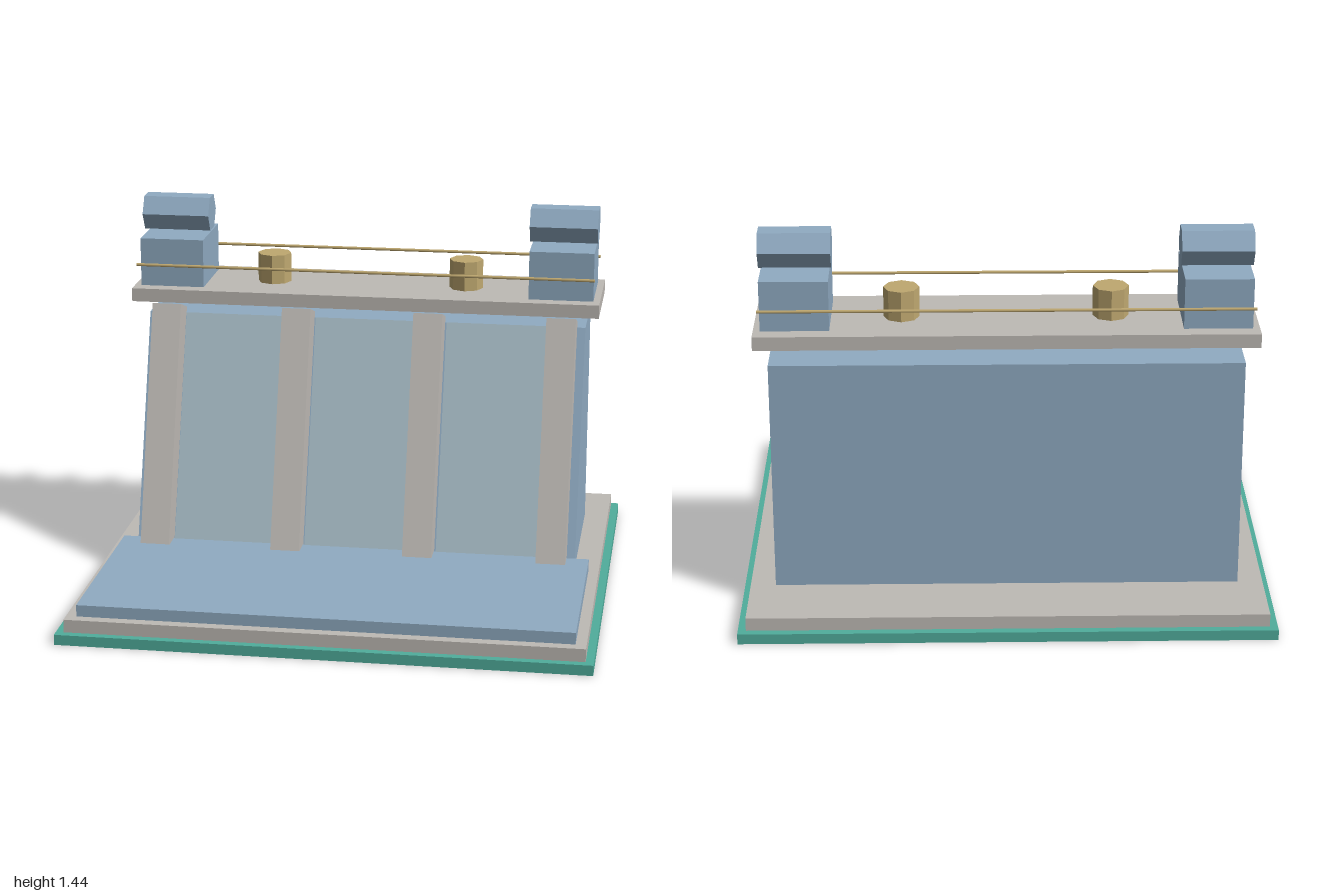
import * as THREE from 'three';

const mat = (name, color) => {
  const m = new THREE.MeshStandardMaterial({ color });
  m.name = name;
  return m;
};

export function createModel() {
  const teal = mat('teal', 0x50ad9c);
  const concrete = mat('concrete', 0xbebab5);
  const blue = mat('slate blue', 0x90abc2);
  const pale = mat('pale blue', 0xa7bcc6);
  const gold = mat('gold', 0xbfa870);

  const model = new THREE.Group();
  model.name = 'dam';

  const add = (name, geometry, material) => {
    const mesh = new THREE.Mesh(geometry, material);
    mesh.name = name;
    model.add(mesh);
    return mesh;
  };

  // Box given by its limits on each axis
  const box = (name, material, [x0, x1], [y0, y1], [z0, z1]) =>
    add(name, new THREE.BoxGeometry(x1 - x0, y1 - y0, z1 - z0), material)
      .position.set((x0 + x1) / 2, (y0 + y1) / 2, (z0 + z1) / 2);

  // Side profile of (z, y) points, extruded across x
  const profile = (name, material, points, x, width) => {
    const shape = new THREE.Shape(points.map(([z, y]) => new THREE.Vector2(z, y)));
    const geometry = new THREE.ExtrudeGeometry(shape, { depth: width, bevelEnabled: false });
    geometry.translate(0, 0, -width / 2).rotateY(-Math.PI / 2);
    add(name, geometry, material).position.x = x;
  };

  // Stepped base and water apron
  box('basePlate', teal, [-1, 1], [0, 0.04], [-0.9, 0.9]);
  box('foundation', concrete, [-0.97, 0.97], [0.04, 0.09], [-0.87, 0.87]);
  box('apron', blue, [-0.93, 0.93], [0.09, 0.135], [0.06, 0.83]);

  // Wall with a sloping front
  profile('wall', blue, [[0.06, 0.09], [-0.257, 0.985], [-0.6, 0.985], [-0.6, 0.09]], 0, 1.75);

  // Spillway panels lying on the slope
  for (const x of [-0.525, 0, 0.525]) {
    profile('spillwayPanel', pale,
      [[0.075, 0.1], [-0.238, 0.991], [-0.26, 0.983], [0.053, 0.092]], x, 0.395);
  }

  // Leaning buttresses
  for (const x of [-0.785, -0.262, 0.262, 0.785]) {
    profile('buttress', concrete,
      [[0.15, 0.14], [-0.16, 1.045], [-0.27, 1.007], [0.04, 0.102]], x, 0.115);
  }

  // Road deck
  box('deck', concrete, [-0.93, 0.93], [1.045, 1.098], [-0.6, -0.177]);

  // Gate houses, winch drums and bollards, mirrored
  for (const s of [-1, 1]) {
    const cx = s * 0.777;
    box('gateHouse', blue, [cx - 0.127, cx + 0.127], [1.098, 1.29], [-0.54, -0.235]);

    const drum = new THREE.CylinderGeometry(0.077, 0.077, 0.268, 6).toNonIndexed();
    drum.rotateZ(Math.PI / 2);
    drum.computeVertexNormals();
    add('winchDrum', drum, blue).position.set(cx, 1.371, -0.388);

    const bollard = new THREE.CylinderGeometry(0.067, 0.067, 0.117, 8).toNonIndexed();
    bollard.computeVertexNormals();
    add('bollard', bollard, gold).position.set(s * 0.388, 1.156, -0.39);
  }

  // Handrails along both deck edges
  for (const z of [-0.187, -0.592]) {
    const rail = new THREE.CylinderGeometry(0.006, 0.006, 1.82, 8);
    rail.rotateZ(Math.PI / 2);
    add('handrail', rail, gold).position.set(0, 1.194, z);
  }

  return model;
}
